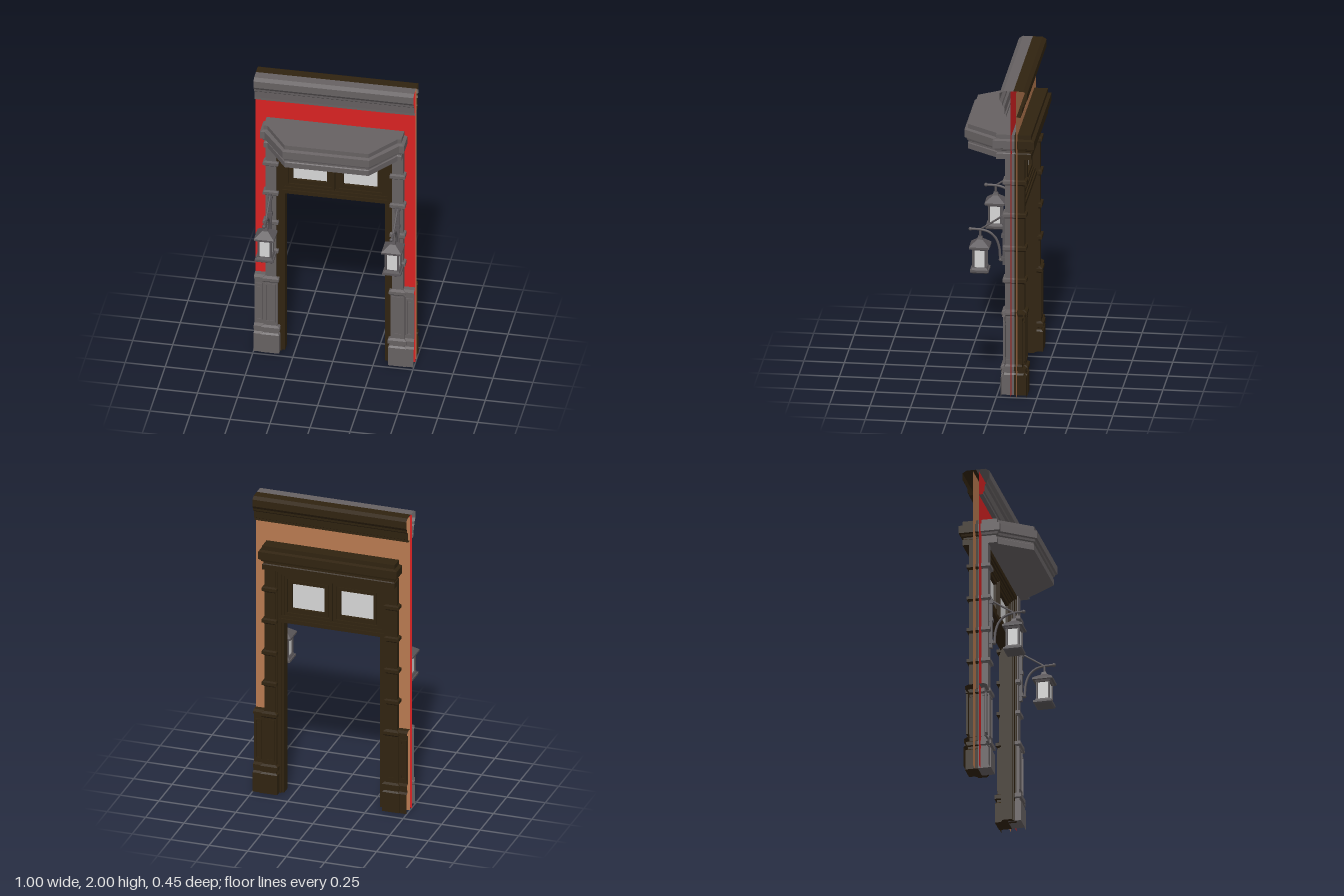
import * as THREE from 'three';

const C = -0.105; // middle plane of the wall; front half is grey, back half brown

function makeMat(name, color) {
  const m = new THREE.MeshStandardMaterial({ color, side: THREE.DoubleSide });
  m.name = name;
  return m;
}

export function createModel() {
  const model = new THREE.Group();
  model.name = 'doorway';
  const stone = makeMat('greyStone', 0x666162);
  const wood = makeMat('darkWood', 0x302310);
  const red = makeMat('redPlaster', 0xd82222);
  const tan = makeMat('tanPlaster', 0xb87a50);
  const metal = makeMat('lanternMetal', 0x5a5659);
  const glass = makeMat('paleGlass', 0xd6d6d6);

  function add(name, geo, mat, parent = model) {
    const mesh = new THREE.Mesh(geo, mat);
    mesh.name = name;
    parent.add(mesh);
    return mesh;
  }

  function box(name, mat, x0, x1, y0, y1, z0, z1, parent) {
    const g = new THREE.BoxGeometry(x1 - x0, y1 - y0, z1 - z0);
    g.translate((x0 + x1) / 2, (y0 + y1) / 2, (z0 + z1) / 2);
    return add(name, g, mat, parent);
  }

  // Moulding: path points [x, depth, dx, dz] pushed outwards along a profile of [y, out].
  // sx and sz mirror it left to right and front to back.
  function moulding(name, mat, path, profile, sx, sz, caps) {
    let pts = path.map(([x, z, dx, dz]) => (o) => [sx * (x + dx * o), C + sz * (z + dz * o)]);
    if (sx * sz < 0) pts = pts.reverse();
    const v = [];
    const P = (i, j) => {
      const [x, z] = pts[i](profile[j][1]);
      return [x, profile[j][0], z];
    };
    for (let i = 0; i < pts.length - 1; i++) {
      for (let j = 0; j < profile.length - 1; j++) {
        const a = P(i, j), b = P(i + 1, j), c = P(i + 1, j + 1), d = P(i, j + 1);
        v.push(...a, ...b, ...c, ...a, ...c, ...d);
      }
      if (caps) {
        const last = profile.length - 1, cx = sx * (path[0][0] + path[path.length - 1][0]) / 2;
        v.push(...P(i, last), ...P(i + 1, last), cx, profile[last][0], C);
        v.push(...P(i + 1, 0), ...P(i, 0), cx, profile[0][0], C);
      }
    }
    const g = new THREE.BufferGeometry();
    g.setAttribute('position', new THREE.Float32BufferAttribute(v, 3));
    g.computeVertexNormals();
    return add(name, g, mat);
  }

  const rect = (x0, y0, x1, y1, T = THREE.Shape) =>
    new T([[x0, y0], [x1, y0], [x1, y1], [x0, y1]].map((p) => new THREE.Vector2(...p)));

  // Rectangular ring of width w, h deep
  function ringGeo(x0, y0, x1, y1, w, h) {
    const s = rect(x0, y0, x1, y1);
    s.holes.push(rect(x0 + w, y0 + w, x1 - w, y1 - w, THREE.Path));
    return new THREE.ExtrudeGeometry(s, { depth: h, bevelEnabled: false });
  }
  function ring(name, mat, x0, y0, x1, y1, w, zMid, h) {
    return add(name, ringGeo(x0, y0, x1, y1, w, h).translate(0, 0, zMid - h / 2), mat);
  }

  // Arch-shaped outline around the doorway
  function portal(xo, yo, xi, yi) {
    return new THREE.Shape([[-xo, 0], [-xi, 0], [-xi, yi], [xi, yi], [xi, 0], [xo, 0], [xo, yo], [-xo, yo]]
      .map((p) => new THREE.Vector2(...p)));
  }

  // Wall skins, open at the ends
  const skin = portal(0.5, 1.99, 0.345, 1.5);
  add('frontWall', new THREE.ShapeGeometry(skin).translate(0, 0, C + 0.018), red);
  add('backWall', new THREE.ShapeGeometry(skin).rotateY(Math.PI).translate(0, 0, C - 0.018), tan);

  // Mouldings on both faces
  const cornice = [[1.83, 0.018], [1.83, 0.045], [1.845, 0.045], [1.85, 0.053], [1.895, 0.056], [1.905, 0.068],
    [1.92, 0.07], [1.93, 0.078], [1.94, 0.085], [1.985, 0.085], [2, 0.06], [2, 0]];
  const wainscot = [[0, 0.078], [0.13, 0.078], [0.14, 0.064], [0.155, 0.064], [0.16, 0.075], [0.185, 0.075],
    [0.195, 0.055], [0.52, 0.055], [0.525, 0.07], [0.54, 0.07], [0.55, 0.05], [0.55, 0.018]];
  const pilaster = [[0, 0.022], [0.13, 0.022], [0.14, 0.012], [0.155, 0.012], [0.16, 0.024], [0.185, 0.024],
    [0.195, 0.009], [0.51, 0.009], [0.52, 0.018], [0.54, 0.018], [0.55, 0]];
  for (const y of [0.74, 0.95, 1.165, 1.38]) {
    pilaster.push([y - 0.022, 0], [y - 0.014, 0.006], [y - 0.01, 0.014], [y + 0.01, 0.014], [y + 0.016, 0]);
  }
  pilaster.push([1.53, 0]);
  const canopy = [[1.53, 0], [1.565, 0], [1.57, -0.006], [1.582, -0.006], [1.587, 0.004], [1.6, 0.008],
    [1.605, 0.02], [1.655, 0.02], [1.662, 0], [1.69, 0]];

  const pilasterPath = [[0.362, 0, -1, 0], [0.362, 0.06, -1, 1], [0.43, 0.06, 1, 1], [0.43, 0, 1, 0]];
  const canopyHalf = [[0.262, 0.31, 0.4, 1], [0.405, 0.115, 0.75, 1], [0.43, 0.115, 1, 1], [0.43, 0, 1, 0]];
  const hoodHalf = [[0.43, 0.102, 1, 1], [0.43, 0, 1, 0]];
  const symmetric = (half) => [...half.map(([x, z, dx, dz]) => [-x, z, -dx, dz]).reverse(), ...half];

  for (const sz of [1, -1]) {
    const mat = sz > 0 ? stone : wood;
    const side = sz > 0 ? 'front' : 'back';
    moulding(side + 'Cornice', mat, [[-0.5, 0, 0, 1], [0.5, 0, 0, 1]], cornice, 1, sz);
    moulding(side + 'Canopy', mat, symmetric(sz > 0 ? canopyHalf : hoodHalf), canopy, 1, sz, true);
    for (const sx of [1, -1]) {
      moulding(side + 'Pilaster', mat, pilasterPath, pilaster, sx, sz, true);
      moulding(side + 'Wainscot', mat, [[0.435, 0, 0, 1], [0.5, 0, 0, 1]], wainscot, sx, sz);
      // Raised panel borders on the pedestal and wainscot
      const flip = (a, b) => (sx > 0 ? [a, b] : [-b, -a]);
      let [a, b] = flip(0.363, 0.429);
      ring(side + 'PedestalPanel', mat, a, 0.22, b, 0.5, 0.01, C + sz * 0.07, 0.006);
      [a, b] = flip(0.45, 0.492);
      ring(side + 'WainscotPanel', mat, a, 0.22, b, 0.49, 0.01, C + sz * 0.058, 0.012);
      [a, b] = flip(0.458, 0.484);
      box(side + 'WainscotField', mat, a, b, 0.25, 0.46, C + sz * 0.057 - 0.003, C + sz * 0.057 + 0.003);
      const g = ringGeo(-0.025, 0.22, 0.025, 0.5, 0.008, 0.005).rotateY(Math.PI / 2);
      add(side + 'PedestalSidePanel', g.translate(sx * 0.441 - 0.0025, 0, C + sz * 0.035), mat);
    }
  }

  // Door frame in stepped layers
  [[0.372, 1.53, 0.35, 1.5, 0.052], [0.355, 1.505, 0.33, 1.485, 0.042], [0.335, 1.49, 0.312, 1.47, 0.032]]
    .forEach(([xo, yo, xi, yi, h]) => {
      const g = new THREE.ExtrudeGeometry(portal(xo, yo, xi, yi), { depth: 2 * h, bevelEnabled: false });
      add('doorFrame', g.translate(0, 0, C - h), wood);
    });
  box('transomRail', wood, -0.34, 0.34, 1.16, 1.185, C - 0.045, C + 0.045);
  box('transomSill', wood, -0.335, 0.335, 1.185, 1.205, C - 0.036, C + 0.036);

  // Paired transom windows with a slit between them
  for (const s of [1, -1]) {
    const r = (name, x0, y0, x1, y1, w, h) =>
      ring(name, wood, s > 0 ? x0 : -x1, y0, s > 0 ? x1 : -x0, y1, w, C, h);
    r('sashOuter', 0.003, 1.203, 0.313, 1.472, 0.02, 0.056);
    r('sashMiddle', 0.02, 1.22, 0.296, 1.455, 0.014, 0.036);
    r('sashInner', 0.03, 1.23, 0.286, 1.445, 0.022, 0.046);
    box('windowPane', glass, s * 0.158 - 0.112, s * 0.158 + 0.112, 1.248, 1.427, C - 0.003, C + 0.003);
  }

  // Hanging lanterns on wall brackets
  function lantern(sx) {
    const g = new THREE.Group();
    g.name = sx > 0 ? 'leftLantern' : 'rightLantern';
    g.position.set(sx * 0.398, 0, 0);
    model.add(g);
    const zc = 0.112;
    const tier = (name, w0, w1, y0, y1) => {
      const geo = new THREE.CylinderGeometry(w1 / Math.SQRT2, w0 / Math.SQRT2, y1 - y0, 4).toNonIndexed();
      geo.rotateY(Math.PI / 4).translate(0, (y0 + y1) / 2, zc);
      geo.computeVertexNormals();
      add(name, geo, metal, g);
    };
    tier('lanternFoot', 0.095, 0.115, 0.782, 0.79);
    tier('lanternBase', 0.115, 0.115, 0.79, 0.803);
    tier('lanternBaseTop', 0.1, 0.088, 0.803, 0.818);
    tier('lanternHead', 0.09, 0.1, 0.93, 0.943);
    tier('lanternEave', 0.125, 0.125, 0.943, 0.955);
    tier('lanternRoof', 0.125, 0.035, 0.955, 0.992);
    tier('lanternCap', 0.034, 0.026, 0.992, 1.01);
    box('lanternGlass', glass, -0.036, 0.036, 0.815, 0.933, zc - 0.036, zc + 0.036, g);
    for (const x of [-0.038, 0.038]) {
      for (const z of [-0.038, 0.038]) {
        box('lanternPost', metal, x - 0.006, x + 0.006, 0.81, 0.935, zc + z - 0.006, zc + z + 0.006, g);
      }
    }
    const tube = (name, pts, r, n) => add(name, new THREE.TubeGeometry(
      new THREE.CatmullRomCurve3(pts.map(([z, y]) => new THREE.Vector3(0, y, z))), n, r, 8), metal, g);
    tube('hanger', [[zc, 1.0], [zc, 1.055]], 0.007, 1);
    tube('bracketArm', [[0.17, 1.055], [0.1, 1.052], [0.05, 1.035], [0.015, 1.0], [-0.006, 0.94], [-0.012, 0.86]], 0.008, 24);
    tube('bracketStay', [[0.105, 1.058], [-0.03, 1.15]], 0.006, 1);
    add('armTip', new THREE.SphereGeometry(0.012, 10, 8).translate(0, 1.055, 0.172), metal, g);
    add('armFoot', new THREE.SphereGeometry(0.012, 10, 8).translate(0, 0.862, -0.014), metal, g);
    box('bracketPlate', metal, -0.011, 0.011, 0.83, 1.165, -0.045, -0.026, g);
    for (const y of [0.87, 1.02, 1.14]) box('bracketBoss', metal, -0.015, 0.015, y - 0.012, y + 0.012, -0.045, -0.02, g);
  }
  lantern(1);
  lantern(-1);

  return model;
}
